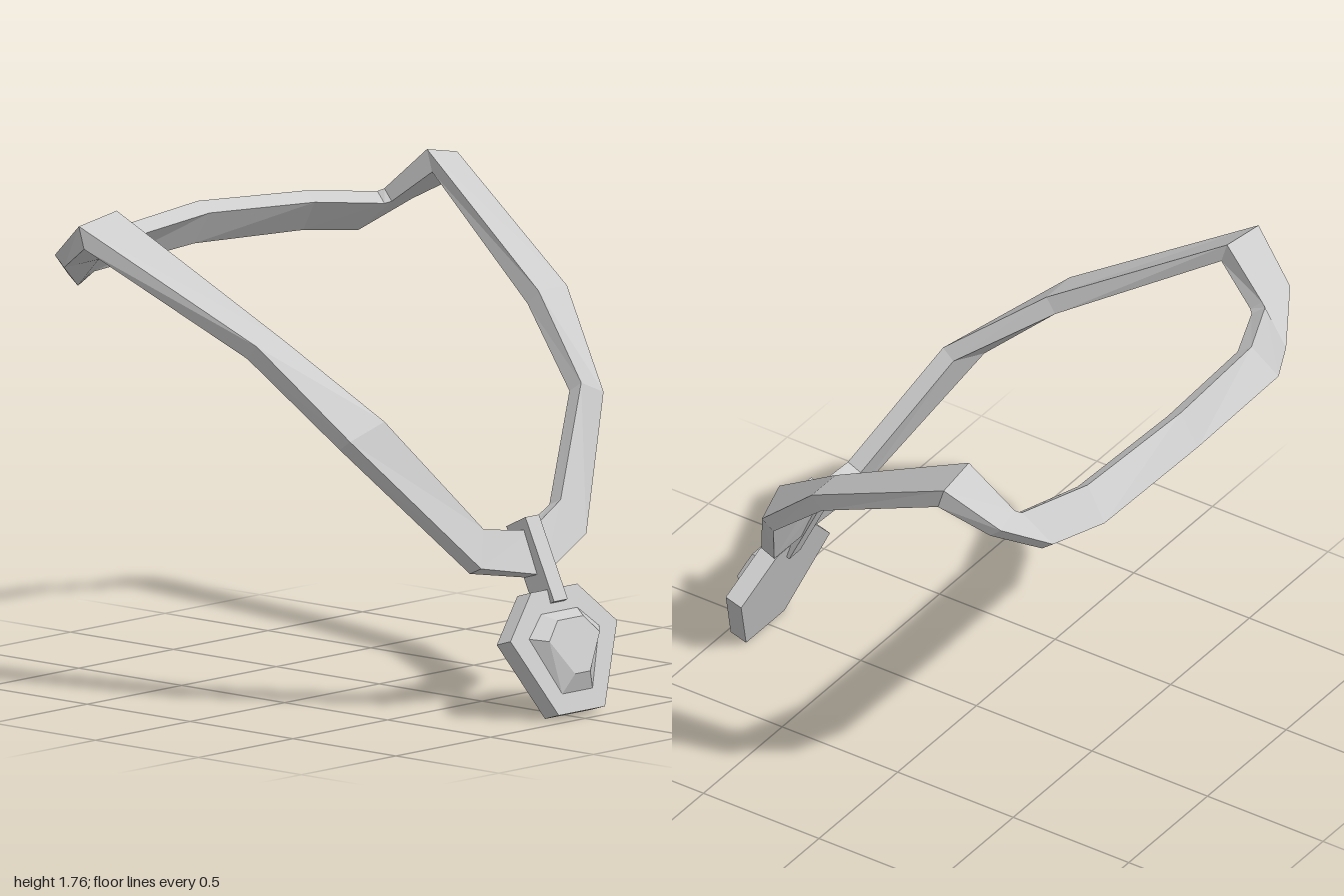
import * as THREE from 'three';

const material = new THREE.MeshStandardMaterial({ color: 0xcccccc, flatShading: true });
const CENTRE = 0.018;

function addMesh(parent, name, geometry) {
  const mesh = new THREE.Mesh(geometry, material);
  mesh.name = name;
  parent.add(mesh);
  return mesh;
}

// Skins a series of cross-section rings with flat quads
function loft(rings, { loop = false, cap = false } = {}) {
  const out = [];
  const n = rings[0].length;
  const spans = loop ? rings.length : rings.length - 1;
  for (let i = 0; i < spans; i++) {
    const a = rings[i], b = rings[(i + 1) % rings.length];
    for (let j = 0; j < n; j++) {
      const k = (j + 1) % n;
      out.push(...a[j], ...b[j], ...b[k], ...a[j], ...b[k], ...a[k]);
    }
  }
  if (cap) {
    const end = rings[rings.length - 1];
    for (let j = 1; j < n - 1; j++) out.push(...end[0], ...end[j + 1], ...end[j]);
  }
  const geometry = new THREE.BufferGeometry();
  geometry.setAttribute('position', new THREE.Float32BufferAttribute(out, 3));
  geometry.computeVertexNormals();
  return geometry;
}

// Strap stations from nape to throat: inner edge p, outer edge q of the outer face,
// t = offset to the underside, left = x of p and q on the mirrored side, lift = its y and z shift
const nape = { p: [0.015, 1.65, -0.895], q: [0.015, 1.53, -0.97], t: [0, -0.037, 0.057] };
const side = [
  { p: [0.54, 1.622, -0.85], q: [0.565, 1.505, -0.94], t: [-0.012, -0.035, 0.052], left: [-0.5, -0.54] },
  { p: [0.79, 1.6, -0.735], q: [0.76, 1.49, -0.85], t: [-0.015, -0.037, 0.048], left: [-0.755, -0.72] },
  { p: [0.805, 1.61, -0.715], q: [0.925, 1.6, -0.735], t: [-0.01, -0.04, 0.045], left: [-0.765, -0.915] },
  { p: [0.84, 1.77, -0.54], q: [1, 1.74, -0.54], t: [0, -0.08, 0.025], left: [-0.8, -1] },
  { p: [0.69, 1.36, 0.14], q: [0.84, 1.36, 0.14], t: [-0.01, -0.05, -0.045], left: [-0.65, -0.8] },
  { p: [0.54, 1.09, 0.485], q: [0.68, 1.035, 0.465], t: [-0.008, -0.035, -0.05], left: [-0.5, -0.66] },
  { p: [0.23, 0.73, 0.67], q: [0.32, 0.6, 0.712], t: [0, -0.025, -0.055], left: [-0.2, -0.26], lift: [-0.047, 0.022] },
];
const throat = { p: [0.015, 0.655, 0.725], q: [0.015, 0.5, 0.79], t: [0, -0.018, -0.06] };

function mirrored({ p, q, t, left, lift = [0, 0] }) {
  const flip = (v, x) => [x, v[1] + lift[0], v[2] + lift[1]];
  return { p: flip(p, left[0]), q: flip(q, left[1]), t: [-t[0], t[1], t[2]] };
}

function section({ p, q, t }) {
  const under = (v) => v.map((c, i) => c + t[i]);
  // The outer edge keeps its x so the strap's rim stays square
  return [p, q, [q[0], q[1] + t[1], q[2] + t[2]], under(p)];
}

// Six-sided outline, symmetric in x, clockwise seen from the front
function hexagon(top, middle, bottom, z) {
  const right = [top, middle, bottom];
  return [...right, ...[...right].reverse().map(([x, y]) => [-x, y])].map(([x, y]) => [x, y, z]);
}

export function createModel() {
  const model = new THREE.Group();
  model.name = 'necklace';

  // Closed strap
  const stations = [nape, ...side, throat, ...side.map(mirrored).reverse()];
  addMesh(model, 'strap', loft(stations.map(section), { loop: true }));

  // Bar joining strap and pendant
  const bail = addMesh(model, 'bail', new THREE.BoxGeometry(0.072, 0.322, 0.103));
  bail.position.set(CENTRE, 0.54, 0.75);
  bail.rotation.x = -0.45;

  // Pendant, leaning back; its origin is the lower front edge
  const pendant = new THREE.Group();
  pendant.name = 'pendant';
  pendant.position.set(CENTRE, 0.028, 0.968);
  pendant.rotation.x = -0.304;
  model.add(pendant);

  const outline = hexagon([0.122, 0.45], [0.282, 0.293], [0.122, 0], 0);
  const shape = new THREE.Shape(outline.map(([x, y]) => new THREE.Vector2(x, y)));
  const plate = new THREE.ExtrudeGeometry(shape, { depth: 0.07, bevelEnabled: false });
  addMesh(pendant, 'pendantPlate', plate.translate(0, 0, -0.07));

  // Faceted stone on the plate
  const base = hexagon([0.095, 0.367], [0.185, 0.288], [0.08, 0.073], 0);
  const table = hexagon([0.068, 0.332], [0.133, 0.264], [0.04, 0.133], 0.046);
  addMesh(pendant, 'pendantStone', loft([base, table], { cap: true }));

  return model;
}
